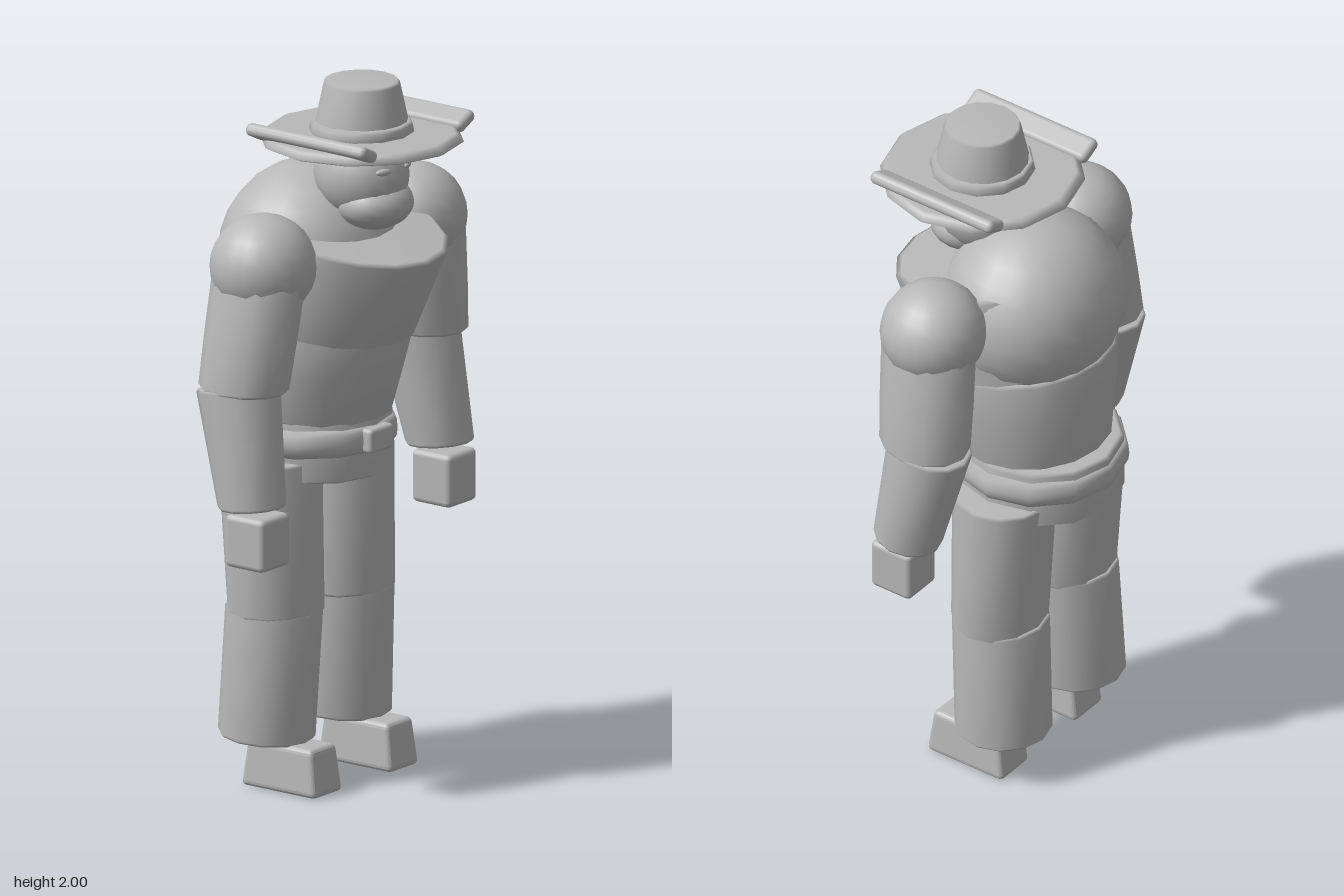
import * as THREE from 'three';
import { RoundedBoxGeometry } from 'three/addons/geometries/RoundedBoxGeometry.js';

const clay = new THREE.MeshStandardMaterial({ color: 0xb8b8b8 });
clay.name = 'clay grey';

// Closed smooth body through ellipses listed bottom to top: [x, y, z, rx, rz, slope dy/dz]
function loft(sections, sides = 12, inset = 0.95, bevel = 0.008) {
  const first = sections[0], last = sections[sections.length - 1];
  const cap = ([x, y, z, rx, rz, s = 0], dy) => [x, y + dy, z, rx * inset, rz * inset, s];
  const low = [...first], high = [...last];
  low[1] += bevel;
  high[1] -= bevel;
  const rings = [cap(first, 0), low, ...sections.slice(1, -1), high, cap(last, 0)];
  const pos = [], idx = [];
  for (const [x, y, z, rx, rz, s = 0] of rings) {
    for (let j = 0; j < sides; j++) {
      const a = (j / sides) * Math.PI * 2, dz = rz * Math.sin(a);
      pos.push(x + rx * Math.cos(a), y + s * dz, z + dz);
    }
  }
  for (let i = 0; i < rings.length - 1; i++) {
    for (let j = 0; j < sides; j++) {
      const k = (j + 1) % sides, a = i * sides + j, b = i * sides + k;
      idx.push(a, a + sides, b, b, a + sides, b + sides);
    }
  }
  const bottom = rings.length * sides, top = bottom + 1, base = (rings.length - 1) * sides;
  pos.push(first[0], first[1], first[2], last[0], last[1], last[2]);
  for (let j = 0; j < sides; j++) {
    const k = (j + 1) % sides;
    idx.push(bottom, j, k, top, base + k, base + j);
  }
  const g = new THREE.BufferGeometry();
  g.setAttribute('position', new THREE.Float32BufferAttribute(pos, 3));
  g.setIndex(idx);
  g.computeVertexNormals();
  return g;
}

export function createModel() {
  const model = new THREE.Group();
  model.name = 'hatted figure';

  const add = (name, geometry, x = 0, y = 0, z = 0, parent = model) => {
    const m = new THREE.Mesh(geometry, clay);
    m.name = name;
    m.position.set(x, y, z);
    parent.add(m);
    return m;
  };
  const ball = (name, x, y, z, rx, ry, rz) => {
    const m = add(name, new THREE.SphereGeometry(1, 20, 14), x, y, z);
    m.scale.set(rx, ry, rz);
    return m;
  };

  // Torso, leaning forward at the chest
  add('pelvis', loft([[0, 0.875, -0.11, 0.235, 0.24], [0, 1.05, -0.11, 0.23, 0.24]]));
  add('belt', loft([[0, 0.948, -0.11, 0.245, 0.25], [0, 0.985, -0.11, 0.25, 0.252], [0, 1.028, -0.11, 0.245, 0.25]], 12, 0.95, 0.015));
  add('buckle', new RoundedBoxGeometry(0.105, 0.07, 0.04, 2, 0.012), 0, 0.988, 0.135);
  add('belly', loft([[0, 1.045, -0.09, 0.225, 0.222, -0.05], [0, 1.2, -0.075, 0.25, 0.245, -0.1], [0, 1.33, -0.06, 0.262, 0.262, -0.14]], 16));
  add('chest', loft([[0, 1.315, -0.05, 0.262, 0.252, -0.22], [0, 1.588, 0.019, 0.28, 0.296, -0.228]], 16));
  ball('upperBack', 0, 1.485, -0.095, 0.275, 0.26, 0.245);

  // Head
  ball('head', 0, 1.735, 0.08, 0.127, 0.13, 0.135);
  ball('jaw', 0, 1.66, 0.125, 0.114, 0.074, 0.106);

  // Hat
  const hat = new THREE.Group();
  hat.name = 'hat';
  hat.position.z = 0.08;
  model.add(hat);
  add('brim', loft([[0, 1.828, 0, 0.285, 0.283], [0, 1.857, 0, 0.272, 0.27]], 12, 0.96, 0.006), 0, 0, 0, hat);
  add('hatBand', loft([[0, 1.85, 0, 0.146, 0.146], [0, 1.888, 0, 0.142, 0.142]], 12, 0.95, 0.008), 0, 0, 0, hat);
  add('crown', loft([[0, 1.85, 0, 0.135, 0.135], [0, 2, 0, 0.106, 0.106]], 16, 0.95, 0.008), 0, 0, 0, hat);

  for (const s of [-1, 1]) {
    const side = s > 0 ? 'left' : 'right';

    const eye = ball(side + 'Eye', s * 0.053, 1.767, 0.198, 0.024, 0.01, 0.009);
    eye.rotation.y = s * 0.4;

    // Rolled edge of the brim
    const roll = add(side + 'BrimRoll', new RoundedBoxGeometry(0.076, 0.036, 0.415, 3, 0.016), s * 0.217, 1.866, -0.005, hat);
    roll.rotation.z = s * 0.45;

    // Arm
    ball(side + 'Shoulder', s * 0.335, 1.53, 0, 0.15, 0.146, 0.147);
    add(side + 'UpperArm', loft([
      [s * 0.399, 1.19, -0.018, 0.11, 0.133],
      [s * 0.38, 1.33, -0.01, 0.115, 0.136],
      [s * 0.357, 1.5, 0, 0.115, 0.138],
    ]));
    add(side + 'Forearm', loft([
      [s * 0.418, 0.865, 0.025, 0.09, 0.098, 0.1],
      [s * 0.4, 1.2, -0.036, 0.109, 0.12, 0.17],
    ]));
    add(side + 'Hand', new RoundedBoxGeometry(0.128, 0.15, 0.135, 2, 0.016), s * 0.416, 0.775, 0.043);

    // Leg
    add(side + 'Thigh', loft([
      [s * 0.157, 0.495, -0.095, 0.145, 0.13],
      [s * 0.16, 0.935, -0.113, 0.148, 0.143],
    ]));
    add(side + 'Shin', loft([
      [s * 0.17, 0.138, -0.117, 0.131, 0.137, -0.05],
      [s * 0.159, 0.51, -0.1, 0.139, 0.134, -0.03],
    ]));

    // Foot, slightly narrower at the top
    const foot = new RoundedBoxGeometry(0.132, 0.135, 0.26, 2, 0.016);
    const p = foot.attributes.position;
    for (let i = 0; i < p.count; i++) {
      const k = 1 - 0.14 * (p.getY(i) / 0.135 + 0.5);
      p.setXYZ(i, p.getX(i) * k, p.getY(i), p.getZ(i) * k);
    }
    foot.computeVertexNormals();
    add(side + 'Foot', foot, s * 0.17, 0.0675, -0.03);
  }
  return model;
}
